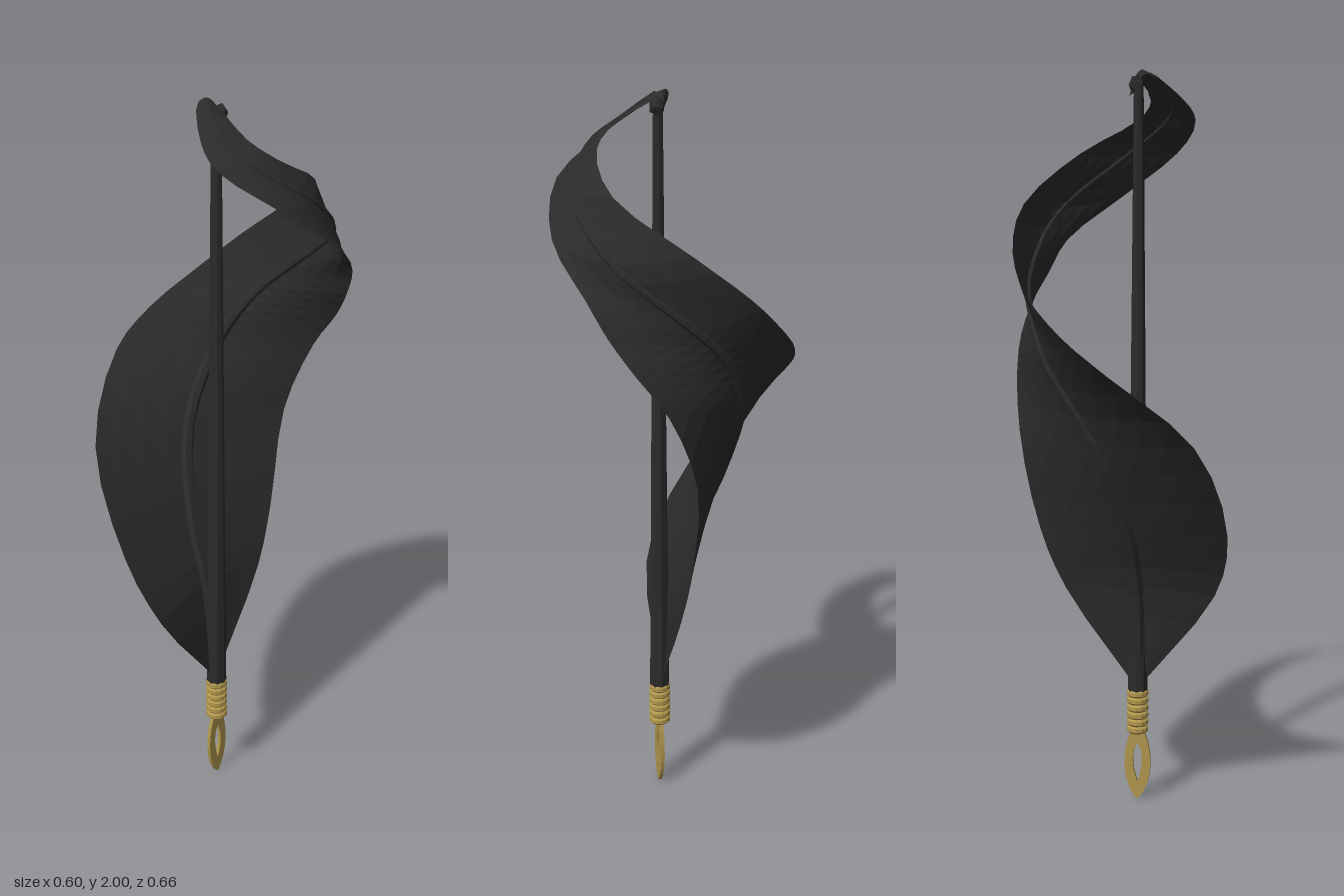
import * as THREE from 'three';

const PX = -0.045, PZ = 0.025; // shaft axis

// Blade stations: left edge, midrib, right edge (x, y, z each)
const STATIONS = [
  [[-.06, .34, .022], [-.045, .34, .018], [-.03, .34, .022]],
  [[-.26, .60, .005], [-.045, .62, -.01], [.155, .60, .02]],
  [[-.303, .79, -.08], [-.03, .79, -.07], [.225, .77, .01]],
  [[-.235, 1.05, -.235], [.05, 1.04, -.145], [.28, 1.04, .01]],
  [[-.03, 1.24, -.33], [.17, 1.24, -.14], [.30, 1.25, .09]],
  [[.09, 1.33, -.31], [.21, 1.33, -.10], [.285, 1.36, .17]],
  [[.20, 1.43, -.23], [.24, 1.41, -.04], [.245, 1.45, .23]],
  [[.26, 1.53, -.13], [.248, 1.49, .05], [.20, 1.54, .275]],
  [[.265, 1.65, .02], [.20, 1.63, .21], [.05, 1.66, .325]],
  [[.145, 1.78, .19], [.03, 1.77, .265], [-.11, 1.78, .275]],
  [[-.015, 1.87, .19], [-.10, 1.87, .19], [-.18, 1.87, .135]],
  [[-.06, 1.92, .13], [-.12, 1.92, .11], [-.16, 1.92, .07]],
  [[-.035, 1.98, .015], [-.055, 2.0, .005], [-.07, 1.99, -.01]],
  [[-.02, 1.93, .03], [-.02, 1.935, .03], [-.025, 1.935, .025]],
];

const rails = [0, 1, 2].map(k =>
  new THREE.CatmullRomCurve3(STATIONS.map(s => new THREE.Vector3(...s[k]))));

// Point on the blade: t along it, u across it from 0 (left edge) to 1 (right edge)
function bladePoint(t, u) {
  const [a, m, b] = rails.map(r => r.getPoint(t));
  return a.multiplyScalar((1 - u) * (1 - 2 * u))
    .addScaledVector(m, 4 * u * (1 - u))
    .addScaledVector(b, u * (2 * u - 1));
}

function gridGeometry(rows, cols, pointAt) {
  const pos = [], idx = [], w = cols + 1;
  for (let i = 0; i <= rows; i++) {
    for (let j = 0; j <= cols; j++) pos.push(...pointAt(i / rows, j / cols).toArray());
  }
  for (let i = 0; i < rows; i++) {
    for (let j = 0; j < cols; j++) {
      const a = i * w + j;
      idx.push(a, a + 1, a + w, a + 1, a + w + 1, a + w);
    }
  }
  const g = new THREE.BufferGeometry();
  g.setAttribute('position', new THREE.Float32BufferAttribute(pos, 3));
  g.setIndex(idx);
  g.computeVertexNormals();
  return g;
}

// Tapering raised rib that follows the middle of the blade
function ribPoint(t, v) {
  const s = t * 0.9;
  const c = bladePoint(s, 0.5);
  const along = rails[1].getTangent(s);
  const across = bladePoint(s, 0.55).sub(bladePoint(s, 0.45));
  across.addScaledVector(along, -across.dot(along)).normalize();
  const out = new THREE.Vector3().crossVectors(along, across);
  const r = 0.016 * (1 - t) + 0.005, ang = -v * Math.PI * 2;
  return c.addScaledVector(across, r * Math.cos(ang)).addScaledVector(out, r * 0.7 * Math.sin(ang));
}

export function createModel() {
  const group = new THREE.Group();
  const black = new THREE.MeshStandardMaterial({ color: 0x2b2b2b, flatShading: true, side: THREE.DoubleSide });
  black.name = 'charcoal';
  const gold = new THREE.MeshStandardMaterial({ color: 0xb0964c, flatShading: true });
  gold.name = 'brass';

  const add = (name, geometry, material, x = 0, y = 0, z = 0) => {
    const mesh = new THREE.Mesh(geometry, material);
    mesh.name = name;
    mesh.position.set(x, y, z);
    group.add(mesh);
  };

  // Spiralling blade and its rib
  add('blade', gridGeometry(39, 8, bladePoint), black);
  add('midrib', gridGeometry(39, 6, ribPoint), black);

  // Tapered shaft with a small knot on top
  add('shaft', new THREE.CylinderGeometry(0.013, 0.028, 1.65, 8), black, PX, 1.135, PZ);
  const knot = new THREE.IcosahedronGeometry(0.022, 0);
  knot.scale(1, 1.2, 1);
  add('topKnot', knot, black, -0.038, 1.962, 0.03);

  // Ribbed ferrule
  const profile = [new THREE.Vector2(0, 0.195)];
  const ribs = 6, step = 0.125 / ribs;
  for (let i = 0; i < ribs; i++) {
    const y = 0.195 + i * step;
    profile.push(new THREE.Vector2(0.025, y), new THREE.Vector2(0.030, y + step * 0.25),
      new THREE.Vector2(0.030, y + step * 0.75));
  }
  profile.push(new THREE.Vector2(0.025, 0.32), new THREE.Vector2(0, 0.32));
  add('ferrule', new THREE.LatheGeometry(profile, 12), gold, PX, 0, PZ);

  // Flat pointed nib with an open centre
  const nib = new THREE.Shape();
  nib.moveTo(0, 0);
  nib.bezierCurveTo(0.03, 0.025, 0.055, 0.11, 0.018, 0.2);
  nib.lineTo(-0.018, 0.2);
  nib.bezierCurveTo(-0.055, 0.11, -0.03, 0.025, 0, 0);
  const slot = new THREE.Path();
  slot.moveTo(0, 0.05);
  slot.quadraticCurveTo(0.026, 0.12, 0, 0.165);
  slot.quadraticCurveTo(-0.026, 0.12, 0, 0.05);
  nib.holes.push(slot);
  const nibGeometry = new THREE.ExtrudeGeometry(nib, { depth: 0.01, bevelEnabled: false, curveSegments: 8 });
  add('nib', nibGeometry, gold, PX, 0, PZ - 0.005);

  return group;
}
